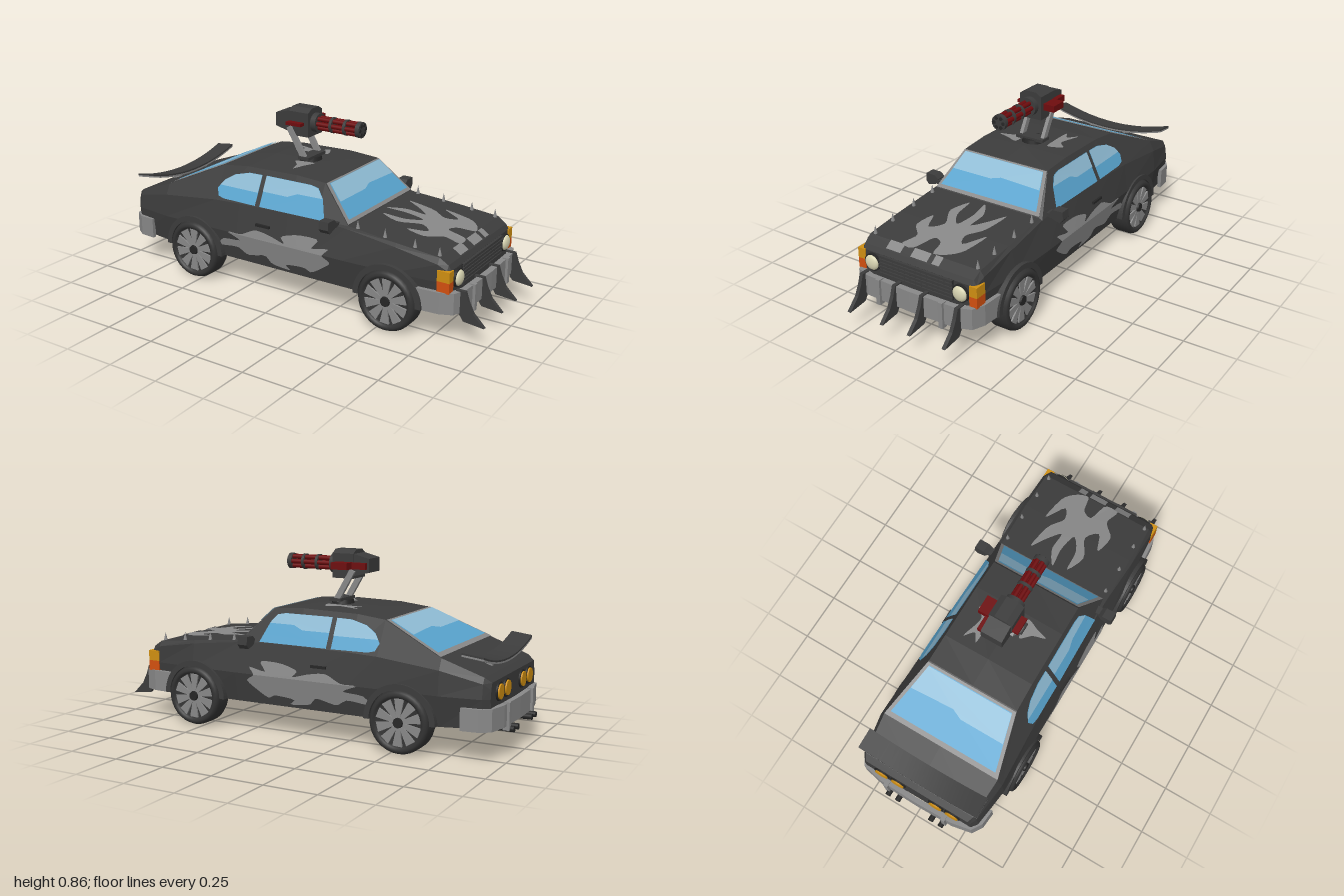
import * as THREE from 'three';

const mat = (name, color, side = THREE.FrontSide) => {
  const m = new THREE.MeshStandardMaterial({ color, side });
  m.name = name;
  return m;
};
const M = {
  body: mat('charcoal paint', 0x3c3c3c, THREE.DoubleSide),
  black: mat('black trim', 0x262626),
  rubber: mat('tyre rubber', 0x333333),
  grey: mat('light grey', 0x888888, THREE.DoubleSide),
  glass: mat('blue glass', 0x58a3cd, THREE.DoubleSide),
  shine: mat('pale glass', 0x8ebbd4, THREE.DoubleSide),
  amber: mat('amber lamp', 0xcf8f12),
  orange: mat('orange lamp', 0xd2500f),
  cream: mat('cream lamp', 0xd9d5b2),
  red: mat('dark red', 0x6e0c0e),
};
const SIDES = [1, -1];

// Hull stations: x, bottom y, bottom z, mid z, belt y, belt z, top y, top z, crown
const STATIONS = [
  [-0.94, 0.17, 0.285, 0.295, 0.32, 0.29, 0.35, 0.28, 0],
  [-0.91, 0.15, 0.305, 0.32, 0.345, 0.31, 0.372, 0.295, 0],
  [-0.72, 0.14, 0.32, 0.345, 0.39, 0.335, 0.44, 0.31, 0],
  [-0.42, 0.14, 0.32, 0.345, 0.42, 0.323, 0.573, 0.238, 0],
  [-0.28, 0.14, 0.32, 0.345, 0.425, 0.318, 0.589, 0.235, 0.006],
  [0, 0.14, 0.32, 0.345, 0.43, 0.312, 0.595, 0.234, 0.006],
  [0.155, 0.14, 0.32, 0.345, 0.43, 0.308, 0.585, 0.232, 0],
  [0.315, 0.14, 0.32, 0.345, 0.42, 0.307, 0.428, 0.29, 0],
  [0.57, 0.14, 0.315, 0.338, 0.393, 0.317, 0.406, 0.3, 0],
  [0.78, 0.15, 0.305, 0.32, 0.36, 0.318, 0.386, 0.3, 0],
  [0.822, 0.155, 0.3, 0.312, 0.335, 0.309, 0.358, 0.296, 0],
  [0.836, 0.16, 0.3, 0.308, 0.318, 0.305, 0.335, 0.295, 0],
];
const MID = 0.28;

function stationAt(x) {
  let i = 0;
  while (i < STATIONS.length - 2 && x > STATIONS[i + 1][0]) i++;
  const a = STATIONS[i], b = STATIONS[i + 1], t = (x - a[0]) / (b[0] - a[0]);
  return a.map((v, k) => v + (b[k] - v) * t);
}
// Half width of the hull at a given x and y
function sideZ(x, y) {
  const s = stationAt(x);
  const p = [[s[1], s[2]], [MID, s[3]], [s[4], s[5]], [s[6], s[7]]];
  let i = 0;
  while (i < 2 && y > p[i + 1][0]) i++;
  const t = (y - p[i][0]) / (p[i + 1][0] - p[i][0]);
  return p[i][1] + (p[i + 1][1] - p[i][1]) * t;
}

function hullGeometry() {
  const rings = STATIONS.map(([x, yb, zb, zm, ye, ze, yt, zt, c]) => {
    const half = [[yb, zb], [MID, zm], [ye, ze], [yt, zt]];
    return [...half, [yt + c, 0], ...half.map(([y, z]) => [y, -z]).reverse()].map(([y, z]) => [x, y, z]);
  });
  const pos = [], n = rings[0].length;
  const tri = (...p) => p.forEach((v) => pos.push(...v));
  for (let i = 0; i < rings.length - 1; i++) {
    for (let j = 0; j < n; j++) {
      const k = (j + 1) % n, A = rings[i], B = rings[i + 1];
      tri(A[j], B[j], B[k]);
      tri(A[j], B[k], A[k]);
    }
  }
  const back = rings[0], front = rings.at(-1);
  for (let k = 1; k < n - 1; k++) {
    tri(back[0], back[k], back[k + 1]);
    tri(front[0], front[k + 1], front[k]);
  }
  const g = new THREE.BufferGeometry();
  g.setAttribute('position', new THREE.Float32BufferAttribute(pos, 3));
  g.computeVertexNormals();
  return g;
}

const outline = (pts) => new THREE.Shape(pts.map(([x, y]) => new THREE.Vector2(x, y)));
const smooth = (pts, n = 70) => new THREE.CatmullRomCurve3(
  pts.map(([x, y]) => new THREE.Vector3(x, y, 0)), true, 'catmullrom', 0.4).getPoints(n).slice(0, -1).map((p) => [p.x, p.y]);
// Flat outline laid onto a surface by a rule
function plate(pts, rule) {
  const g = new THREE.ShapeGeometry(outline(pts)), p = g.attributes.position;
  for (let i = 0; i < p.count; i++) p.setXYZ(i, ...rule(p.getX(i), p.getY(i)));
  g.computeVertexNormals();
  return g;
}

export function createModel() {
  const car = new THREE.Group();
  car.name = 'armedCar';
  const add = (name, geo, material, x = 0, y = 0, z = 0, parent = car) => {
    const m = new THREE.Mesh(geo, material);
    m.name = name;
    m.position.set(x, y, z);
    parent.add(m);
    return m;
  };
  const box = (name, material, w, h, d, x, y, z, parent) => add(name, new THREE.BoxGeometry(w, h, d), material, x, y, z, parent);
  const rod = (name, material, r, len, x, y, z, seg = 16) =>
    add(name, new THREE.CylinderGeometry(r, r, len, seg).rotateZ(-Math.PI / 2), material, x, y, z);

  add('hull', hullGeometry(), M.body);

  // Windscreen and rear window: grey frame, glass and pale reflection
  const screen = (name, a, b, dx) => {
    const lay = (d) => (u, v) => [a[0] + (b[0] - a[0]) * v + dx * d, a[1] + (b[1] - a[1]) * v + d, u * (a[2] + (b[2] - a[2]) * v)];
    add(name + 'Frame', plate([[-1, 0], [1, 0], [1, 1], [-1, 1]], lay(0.003)), M.grey);
    add(name + 'Glass', plate([[-0.93, 0.04], [0.93, 0.04], [0.94, 0.92], [-0.94, 0.92]], lay(0.006)), M.glass);
    add(name + 'Reflection', plate([[-0.93, 0.05], [0.93, 0.05], [0.93, 0.5], [0.1, 0.5], [-0.1, 0.42], [-0.93, 0.46]], lay(0.009)), M.shine);
  };
  screen('windscreen', [0.158, 0.582, 0.232], [0.312, 0.431, 0.29], 1);
  screen('rearWindow', [-0.425, 0.571, 0.238], [-0.715, 0.442, 0.31], -0.5);

  // Side windows and flame patches on both flanks
  const quarter = [[-0.185, 0.432], [-0.185, 0.567], [-0.26, 0.565], [-0.34, 0.545], [-0.39, 0.515], [-0.42, 0.475], [-0.405, 0.442], [-0.37, 0.434]];
  const quarterTop = [[-0.185, 0.49], [-0.185, 0.567], [-0.26, 0.565], [-0.34, 0.545], [-0.39, 0.515], [-0.41, 0.49]];
  const door = [[-0.16, 0.432], [0.2, 0.432], [0.165, 0.52], [0.13, 0.56], [0.09, 0.568], [-0.16, 0.568]];
  const doorTop = [[-0.16, 0.5], [-0.02, 0.5], [0.03, 0.52], [0.165, 0.52], [0.13, 0.56], [0.09, 0.568], [-0.16, 0.568]];
  const flame = smooth([[0.25, 0.25], [0.21, 0.28], [0.24, 0.315], [0.15, 0.3], [0.18, 0.345], [0.07, 0.345], [-0.02, 0.32],
    [0, 0.29], [-0.08, 0.31], [-0.17, 0.32], [-0.25, 0.285], [-0.33, 0.283], [-0.26, 0.25], [-0.36, 0.24], [-0.39, 0.2],
    [-0.28, 0.21], [-0.22, 0.18], [-0.12, 0.2], [-0.08, 0.165], [0.02, 0.155], [0, 0.18], [0.1, 0.19], [0.14, 0.175], [0.2, 0.21]]);
  for (const s of SIDES) {
    const lay = (d) => (x, y) => [x, y, s * (sideZ(x, y) + d)];
    add('quarterWindow', plate(quarter, lay(0.005)), M.glass);
    add('quarterReflection', plate(quarterTop, lay(0.008)), M.shine);
    add('doorWindow', plate(door, lay(0.005)), M.glass);
    add('doorReflection', plate(doorTop, lay(0.008)), M.shine);
    add('upperSideFlame', plate(flame.map(([x, y]) => [x, Math.max(y, MID)]), lay(0.004)), M.grey);
    add('lowerSideFlame', plate(flame.map(([x, y]) => [x, Math.min(y, MID)]), lay(0.004)), M.grey);
    box('doorHandle', M.black, 0.08, 0.012, 0.012, -0.13, 0.347, s * (sideZ(-0.13, 0.347) + 0.004));
  }

  // Flames on bonnet and roof
  const top = (x, z) => [x, stationAt(x)[6] + 0.005, z];
  const roof = (x, z) => [x, stationAt(x)[6] + 0.009, z];
  add('bonnetFlame', plate(smooth([[0.78, 0.12], [0.7, 0.1], [0.63, 0.16], [0.53, 0.14], [0.62, 0.1], [0.56, 0.05], [0.46, 0.1],
    [0.36, 0.06], [0.47, 0.05], [0.54, 0], [0.44, -0.02], [0.34, -0.01], [0.42, -0.06], [0.52, -0.06], [0.46, -0.11],
    [0.38, -0.16], [0.52, -0.14], [0.6, -0.09], [0.66, -0.12], [0.56, -0.18], [0.7, -0.16], [0.76, -0.11], [0.78, -0.05],
    [0.7, -0.03], [0.68, 0.02], [0.78, 0.05]], 90), top), M.grey);
  for (const [z, w] of [[0.14, 0.08], [0.0, 0.09], [-0.09, 0.04]])
    add('noseFlame', plate([[0.782, z - w / 2], [0.82, z - w / 2], [0.82, z + w / 2], [0.782, z + w / 2]], top), M.grey);
  add('roofFlame', plate(smooth([[-0.05, -0.1], [-0.08, -0.17], [-0.13, -0.13], [-0.24, -0.16], [-0.2, -0.12], [-0.24, -0.09], [-0.12, -0.09]], 30), roof), M.grey);
  add('roofFlame', plate(smooth([[-0.02, 0.06], [-0.04, 0.12], [-0.06, 0.18], [-0.08, 0.12], [-0.12, 0.07]], 24), roof), M.grey);

  // Wheels with fan-like spokes, and arch flares
  const tyre = [[0.02, -0.05], [0.11, -0.05], [0.125, -0.055], [0.136, -0.05], [0.143, -0.035], [0.143, 0.035], [0.136, 0.05],
    [0.125, 0.055], [0.112, 0.052], [0.108, 0.036], [0, 0.036]].map(([r, y]) => new THREE.Vector2(r, y));
  const spoke = outline([[-0.008, 0.02], [0.008, 0.02], [0.026, 0.105], [-0.02, 0.108]]);
  const arch = new THREE.Shape();
  arch.absarc(0, 0, 0.172, 0, Math.PI, false);
  arch.absarc(0, 0, 0.146, Math.PI, 0, true);
  for (const x of [-0.54, 0.55]) for (const s of SIDES) {
    const wheel = new THREE.Group();
    wheel.name = 'wheel';
    wheel.position.set(x, 0.143, s * 0.311);
    wheel.rotation.y = s > 0 ? 0 : Math.PI;
    car.add(wheel);
    add('tyre', new THREE.LatheGeometry(tyre, 32).rotateX(Math.PI / 2), M.rubber, 0, 0, 0, wheel);
    for (let i = 0; i < 10; i++)
      add('spoke', new THREE.ExtrudeGeometry(spoke, { depth: 0.008, bevelEnabled: false }), M.grey, 0, 0, 0.036, wheel).rotation.z = i * Math.PI / 5;
    add('hub', new THREE.CylinderGeometry(0.022, 0.026, 0.018, 12).rotateX(Math.PI / 2), M.black, 0, 0, 0.044, wheel);
    add('archFlare', new THREE.ExtrudeGeometry(arch, { depth: 0.05, bevelEnabled: false, curveSegments: 18 }), M.body, x, 0.143, s > 0 ? 0.302 : -0.352);
  }

  // Wraparound bumpers
  const bumper = (name, outer, inner) => {
    const path = (p) => [...p, ...p.slice(0, -1).reverse().map(([x, z]) => [x, -z])];
    const g = new THREE.ExtrudeGeometry(outline([...path(outer), ...path(inner).reverse()]), { depth: 0.1, bevelEnabled: false });
    add(name, g.rotateX(Math.PI / 2), M.grey, 0, 0.24, 0);
  };
  bumper('frontBumper', [[0.69, 0.342], [0.8, 0.335], [0.86, 0.31], [0.885, 0.24], [0.893, 0]], [[0.69, 0.322], [0.8, 0.315], [0.835, 0.295], [0.858, 0.23], [0.863, 0]]);
  bumper('rearBumper', [[-0.82, 0.34], [-0.9, 0.333], [-0.95, 0.3], [-0.97, 0.2], [-0.975, 0]], [[-0.82, 0.32], [-0.89, 0.313], [-0.925, 0.285], [-0.945, 0.19], [-0.95, 0]]);
  for (const s of SIDES) {
    box('frontBumperGuard', M.grey, 0.03, 0.125, 0.022, 0.885, 0.183, s * 0.172);
    box('rearBumperGuard', M.grey, 0.03, 0.125, 0.022, -0.968, 0.183, s * 0.16);
    for (const z of [0.095, 0.15]) rod('exhaustPipe', M.black, 0.014, 0.24, -0.88, 0.126, s * z, 12);
  }

  // Claw blades on the front bumper
  const claw = outline([[0.85, 0.245], [0.895, 0.245], [0.91, 0.2], [0.935, 0.15], [0.99, 0.095], [0.89, 0.105], [0.86, 0.15]]);
  for (const z of [0.266, 0.082, -0.068, -0.254])
    add('clawBlade', new THREE.ExtrudeGeometry(claw, { depth: 0.018, bevelEnabled: false }), M.body, 0, 0, z - 0.009);

  // Grille, headlamps and indicators
  box('grillePanel', M.black, 0.008, 0.095, 0.4, 0.838, 0.288, 0);
  for (let i = 0; i < 6; i++) box('grilleBar', M.body, 0.012, 0.012, 0.4, 0.843, 0.246 + i * 0.0168, 0);
  for (let i = -6; i <= 6; i++) box('grillePost', M.body, 0.01, 0.09, 0.005, 0.841, 0.288, i * 0.031);
  for (const s of SIDES) {
    rod('headlampRing', M.black, 0.042, 0.02, 0.838, 0.288, s * 0.24, 24);
    add('headlamp', new THREE.SphereGeometry(0.036, 24, 12).scale(0.45, 1, 1), M.cream, 0.848, 0.288, s * 0.24);
    box('upperIndicator', M.amber, 0.06, 0.05, 0.04, 0.812, 0.312, s * 0.304);
    box('lowerIndicator', M.orange, 0.06, 0.05, 0.04, 0.812, 0.262, s * 0.304);
    for (const z of [0.105, 0.195]) {
      rod('tailLampRing', M.black, 0.042, 0.014, -0.94, 0.297, s * z, 20);
      rod('tailLamp', M.amber, 0.034, 0.024, -0.942, 0.297, s * z, 20);
    }
  }

  // Bonnet spikes and door mirrors
  const mirror = outline([[0.315, 0.445], [0.335, 0.462], [0.384, 0.463], [0.388, 0.425], [0.372, 0.405], [0.33, 0.418]]);
  for (const s of SIDES) {
    for (const x of [0.36, 0.5, 0.65, 0.77])
      add('bonnetSpike', new THREE.ConeGeometry(0.01, 0.042, 8), M.grey, x, stationAt(x)[6] + 0.019, s * 0.28);
    const m = add('mirror', new THREE.ExtrudeGeometry(mirror, { depth: 0.05, bevelEnabled: false }).rotateY(-Math.PI / 2).translate(0.27, 0, 0), M.body);
    if (s < 0) m.geometry.rotateY(Math.PI).translate(0.49, 0, 0);
    box('mirrorStalk', M.body, 0.04, 0.02, 0.05, 0.25, 0.43, s * 0.31);
  }

  // Sagging rear spoiler: dark blade, grey underside and posts
  const blade = (name, material, lift) => {
    const g = new THREE.BoxGeometry(0.1, 0.008, 0.64, 1, 1, 12), p = g.attributes.position;
    for (let i = 0; i < p.count; i++) p.setY(i, p.getY(i) + lift + 0.5 * p.getZ(i) ** 2 + 0.12 * p.getX(i));
    g.computeVertexNormals();
    add(name, g, material, -0.865, 0.404, 0);
  };
  blade('spoilerTop', M.body, 0.008);
  blade('spoilerUnderside', M.grey, 0);
  for (const s of SIDES) box('spoilerPost', M.grey, 0.05, 0.06, 0.014, -0.85, 0.385, s * 0.1);

  // Roof gun: mount, housing, ammunition boxes and barrels
  add('gunTurntable', new THREE.CylinderGeometry(0.05, 0.055, 0.02, 20), M.black, -0.08, 0.608, 0);
  box('gunCrossbar', M.body, 0.06, 0.015, 0.15, -0.075, 0.62, 0);
  for (const s of SIDES) box('gunArm', M.grey, 0.028, 0.17, 0.018, -0.12, 0.69, s * 0.06).rotation.z = 0.53;
  const section = outline([[-0.06, 0.723], [0.06, 0.723], [0.06, 0.84], [0.03, 0.858], [-0.03, 0.858], [-0.06, 0.84]]);
  add('gunHousing', new THREE.ExtrudeGeometry(section, { depth: 0.11, bevelEnabled: false }).rotateY(Math.PI / 2), M.body, -0.165, 0, 0);
  const breech = outline([[-0.245, 0.755], [-0.165, 0.735], [-0.165, 0.84], [-0.245, 0.82]]);
  add('gunBreech', new THREE.ExtrudeGeometry(breech, { depth: 0.11, bevelEnabled: false }), M.body, 0, 0, -0.055);
  box('ammoBox', M.red, 0.085, 0.032, 0.06, -0.118, 0.785, -0.09);
  box('ammoFeed', M.red, 0.07, 0.03, 0.024, -0.2, 0.785, -0.067);
  box('loadingHandle', M.red, 0.085, 0.015, 0.035, -0.122, 0.785, 0.073);
  for (const [x, len, r] of [[-0.042, 0.03, 0.046], [0.05, 0.014, 0.038], [0.125, 0.014, 0.038], [0.198, 0.022, 0.038]])
    rod('barrelClamp', M.body, r, len, x, 0.787, 0, 20);
  for (let i = 0; i < 6; i++) {
    const a = i * Math.PI / 3;
    rod('barrel', M.red, 0.011, 0.25, 0.08, 0.787 + 0.025 * Math.sin(a), 0.025 * Math.cos(a), 10);
    rod('muzzle', M.black, 0.009, 0.01, 0.207, 0.787 + 0.025 * Math.sin(a), 0.025 * Math.cos(a), 10);
  }
  return car;
}
